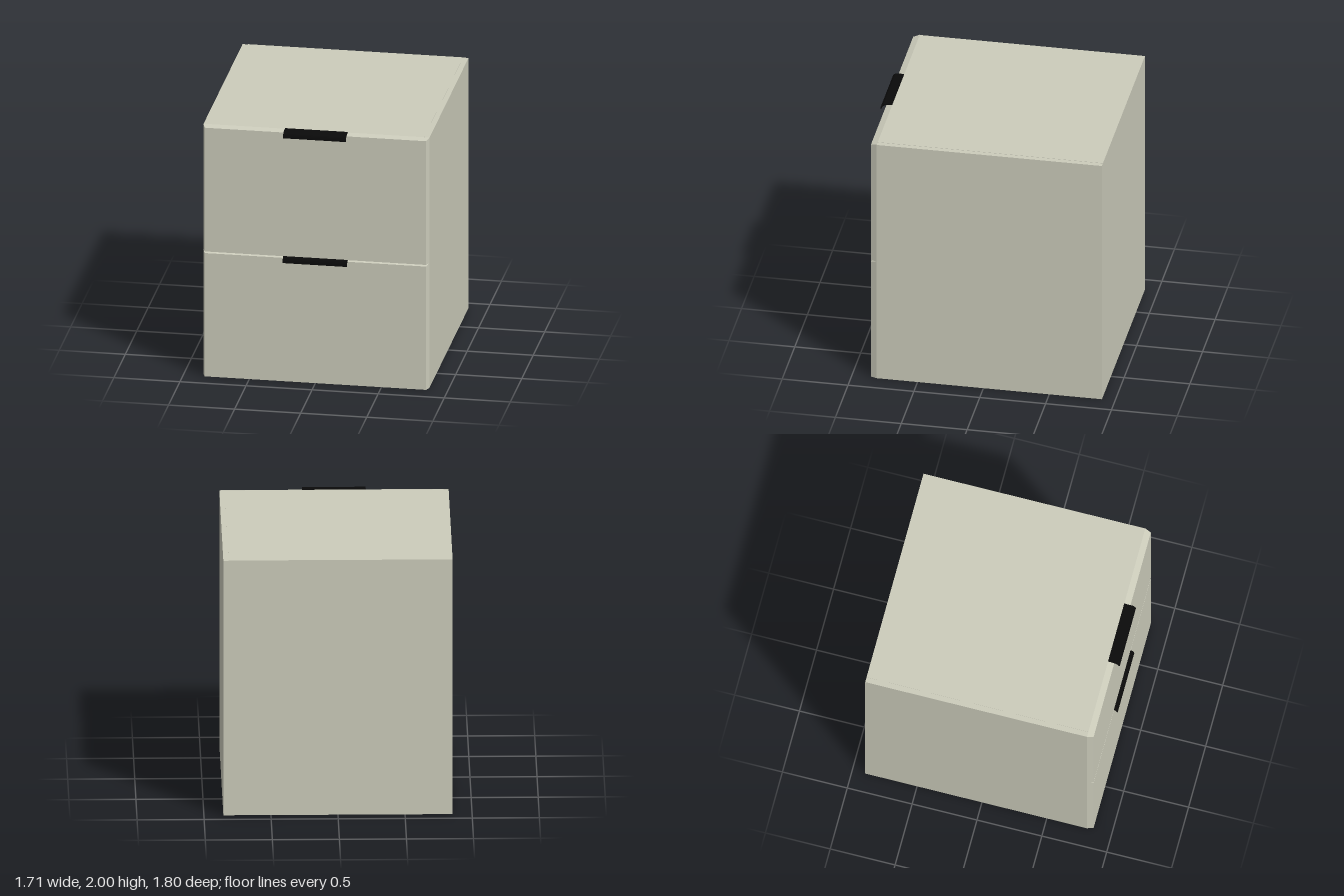
import * as THREE from 'three';

const paint = new THREE.MeshStandardMaterial({ color: 0xccccbb });
const black = new THREE.MeshStandardMaterial({ color: 0x0a0a0a });

function box(name, x0, x1, y0, y1, z0, z1) {
  const geo = new THREE.BoxGeometry(x1 - x0, y1 - y0, z1 - z0);
  geo.translate((x0 + x1) / 2, (y0 + y1) / 2, (z0 + z1) / 2);
  const mesh = new THREE.Mesh(geo, paint);
  mesh.name = name;
  return mesh;
}

// Drawer front: a slab whose face is drawn in at the sides and the top
function drawerFront(name, y0, y1) {
  const mesh = box(name, -0.855, 0.855, y0, y1, 0.81, 0.857);
  const pos = mesh.geometry.attributes.position;
  for (let i = 0; i < pos.count; i++) {
    if (pos.getZ(i) < 0.83) continue;
    pos.setX(i, Math.sign(pos.getX(i)) * 0.838);
    if (pos.getY(i) > y1 - 0.01) pos.setY(i, y1 - 0.013);
  }
  mesh.geometry = mesh.geometry.toNonIndexed();
  mesh.geometry.computeVertexNormals();
  return mesh;
}

// Handle: a thin lip that curls over the top edge of a drawer front
function handle(name, top, halfWidth, reach) {
  const s = new THREE.Shape();
  s.moveTo(0, 0);
  s.lineTo(0, -0.004);
  s.quadraticCurveTo(reach * 0.4, -0.008, reach * 0.62, -0.014);
  s.quadraticCurveTo(reach * 0.85, -0.022, reach * 0.93, -0.05);
  s.lineTo(reach, -0.045);
  s.quadraticCurveTo(reach * 0.98, -0.012, reach * 0.72, -0.003);
  s.lineTo(0, 0);
  const geo = new THREE.ExtrudeGeometry(s, { depth: halfWidth * 2, bevelEnabled: false, curveSegments: 8 });
  geo.translate(0, 0, -halfWidth);
  geo.rotateY(-Math.PI / 2); // profile x becomes z
  const mesh = new THREE.Mesh(geo, black);
  mesh.name = name;
  mesh.position.set(0, top, 0.81);
  return mesh;
}

export function createModel() {
  const cabinet = new THREE.Group();
  cabinet.name = 'drawerCabinet';

  // Carcass with its top panel set between the side walls
  cabinet.add(box('carcass', -0.855, 0.855, 0, 1.993, -0.9, 0.81));
  cabinet.add(box('topPanel', -0.815, 0.815, 1.98, 1.995, -0.9, 0.81));

  // Two stacked drawers
  cabinet.add(drawerFront('lowerDrawerFront', 0, 0.996));
  cabinet.add(drawerFront('upperDrawerFront', 0.996, 1.995));
  cabinet.add(handle('lowerHandle', 1.0, 0.243, 0.076));
  cabinet.add(handle('upperHandle', 2.0, 0.237, 0.09));
  return cabinet;
}
